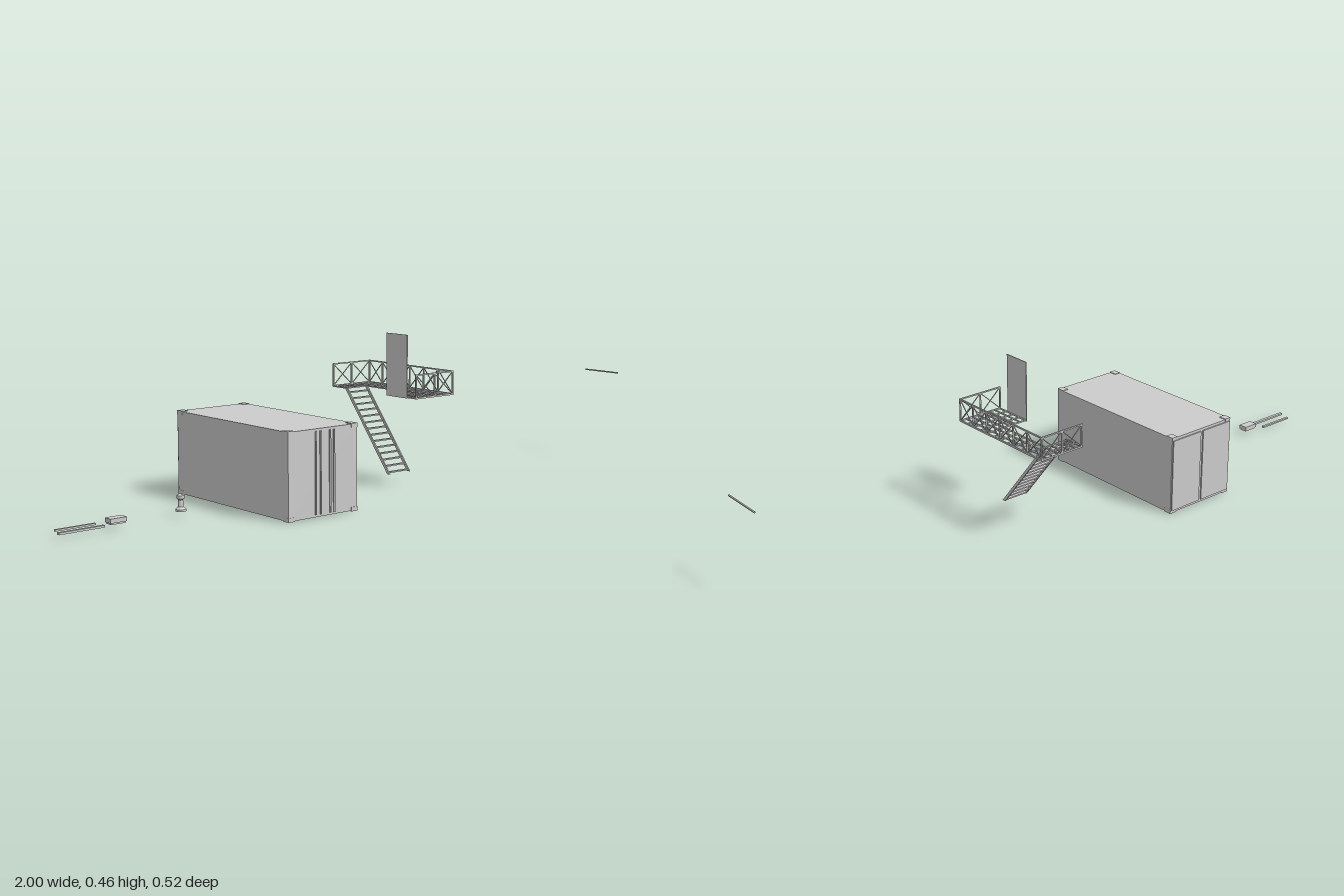
import * as THREE from 'three';

const grey = new THREE.MeshStandardMaterial({ color: 0xcccccc, flatShading: true });
const thin = new THREE.MeshStandardMaterial({ color: 0xcccccc, flatShading: true, side: THREE.DoubleSide });

function group(parent, name) {
  const g = new THREE.Group();
  g.name = name;
  parent.add(g);
  return g;
}

// Box given by its size and centre
function box(parent, name, size, pos, mat = grey) {
  const m = new THREE.Mesh(new THREE.BoxGeometry(...size), mat);
  m.name = name;
  m.position.set(...pos);
  parent.add(m);
  return m;
}

// Square bar between two points
function bar(parent, name, a, b, t) {
  const p = new THREE.Vector3(...a), q = new THREE.Vector3(...b);
  const m = box(parent, name, [t, t, p.distanceTo(q) + t], [0, 0, 0]);
  m.position.copy(p).add(q).multiplyScalar(0.5);
  m.lookAt(q);
}

// Open-bottomed container with raised corner blocks and doors
function addContainer(root) {
  const g = group(root, 'container');
  const x0 = -0.44, x1 = -0.2, y0 = 0.003, y1 = 0.244, zh = 0.256;
  const cx = (x0 + x1) / 2, cy = (y0 + y1) / 2, w = x1 - x0, h = y1 - y0;
  const panel = (name, pw, ph, pos, rx, ry) => {
    const m = new THREE.Mesh(new THREE.PlaneGeometry(pw, ph), thin);
    m.name = name;
    m.position.set(...pos);
    m.rotation.set(rx, ry, 0);
    g.add(m);
  };
  panel('leftWall', zh * 2, h, [x1, cy, 0], 0, Math.PI / 2);
  panel('rightWall', zh * 2, h, [x0, cy, 0], 0, -Math.PI / 2);
  panel('frontWall', w, h, [cx, cy, zh], 0, 0);
  panel('backWall', w, h, [cx, cy, -zh], 0, Math.PI);
  panel('roof', w, zh * 2, [cx, y1, 0], -Math.PI / 2, 0);
  for (const x of [x0 + 0.01, x1 - 0.01])
    for (const y of [0.007, 0.24])
      for (const z of [-0.2445, 0.2445])
        box(g, 'cornerBlock', [0.021, 0.012, 0.025], [x, y, z]);
  // Locking bars at the front, door leaves with a centre gap at the back
  for (const x of [-0.347, -0.33, -0.297, -0.283])
    box(g, 'lockingBar', [0.004, 0.228, 0.004], [x, cy, 0.258]);
  for (const s of [-1, 1])
    box(g, 'doorLeaf', [0.113, 0.225, 0.004], [cx + s * 0.061, cy, -0.258]);
}

// Railing of cross-braced bays between two floor points
function addRailing(parent, a, b, bays) {
  const g = group(parent, 'railing');
  const low = 0.279, high = 0.346;
  const at = (t, y) => [a[0] + (b[0] - a[0]) * t, y, a[1] + (b[1] - a[1]) * t];
  bar(g, 'topRail', at(0, high), at(1, high), 0.004);
  bar(g, 'bottomRail', at(0, low), at(1, low), 0.004);
  for (let i = 0; i <= bays; i++) {
    bar(g, 'post', at(i / bays, low), at(i / bays, high), 0.004);
    if (i === bays) break;
    bar(g, 'brace', at(i / bays, low), at((i + 1) / bays, high), 0.0022);
    bar(g, 'brace', at(i / bays, high), at((i + 1) / bays, low), 0.0022);
  }
}

// Grating made of crossed bars
function addGrating(parent, name, x0, x1, z0, z1) {
  const g = group(parent, name);
  const nx = Math.round((x1 - x0) / 0.019), nz = Math.round((z1 - z0) / 0.031);
  for (let i = 0; i <= nx; i++) {
    const x = x0 + (x1 - x0) * i / nx;
    bar(g, 'longBar', [x, 0.278, z0], [x, 0.278, z1], 0.004);
  }
  for (let i = 0; i <= nz; i++) {
    const z = z0 + (z1 - z0) * i / nz;
    bar(g, 'crossBar', [x0, 0.278, z], [x1, 0.278, z], 0.004);
  }
}

// C-shaped platform with railings, upright door and stair
function addPlatform(root) {
  const g = group(root, 'platform');
  const x0 = 0.087, xm = 0.168, x1 = 0.234, z0 = -0.184, z1 = 0.185;
  addGrating(g, 'walkway', xm, x1, z0, z1);
  addGrating(g, 'frontLanding', x0, xm, 0.065, z1);
  addGrating(g, 'backLanding', x0, xm, z0, -0.122);
  addRailing(g, [x1, z1], [x1, z0], 6);
  addRailing(g, [x0, z1], [x1, z1], 2);
  addRailing(g, [x0, z0], [x1, z0], 2);
  box(g, 'door', [0.003, 0.185, 0.088], [0.085, 0.3675, 0.106]);

  const stair = group(g, 'stair');
  // Stringer outline in (z, y), extruded sideways
  const outline = new THREE.Shape([[0.078, 0.04], [0.067, 0.04], [-0.125, 0.278], [-0.114, 0.278]]
    .map(([z, y]) => new THREE.Vector2(-z, y)));
  for (const x of [0.083, 0.163]) {
    const geo = new THREE.ExtrudeGeometry(outline, { depth: 0.004, bevelEnabled: false });
    geo.rotateY(Math.PI / 2);
    const m = new THREE.Mesh(geo, grey);
    m.name = 'stringer';
    m.position.x = x;
    stair.add(m);
  }
  const steps = 14;
  for (let i = 0; i < steps; i++) {
    const t = (i + 0.3) / steps;
    box(stair, 'tread', [0.08, 0.004, 0.01], [0.125, 0.04 + 0.238 * t, 0.0725 - 0.192 * t]);
  }
}

// Small loose parts standing to either side
function addLooseParts(root) {
  box(root, 'longLamp', [0.135, 0.006, 0.01], [-0.9325, 0.016, 0.026]);
  box(root, 'shortLamp', [0.12, 0.005, 0.008], [-0.928, 0.016, -0.012]);

  const unit = group(root, 'wallUnit');
  box(unit, 'casing', [0.05, 0.012, 0.028], [-0.82, 0.025, 0.012]);
  box(unit, 'base', [0.044, 0.005, 0.022], [-0.82, 0.017, 0.012]);

  const profile = [[0, 0.014], [0.015, 0.014], [0.015, 0.02], [0.008, 0.026], [0.007, 0.045],
    [0.011, 0.049], [0.011, 0.058], [0.007, 0.061], [0, 0.061]];
  const post = new THREE.Mesh(
    new THREE.LatheGeometry(profile.map(p => new THREE.Vector2(...p)), 16), grey);
  post.name = 'ventPost';
  post.position.set(-0.605, 0, -0.005);
  root.add(post);

  box(root, 'looseRail', [0.004, 0.004, 0.135], [0.998, 0.279, 0.112]);
}

export function createModel() {
  const root = new THREE.Group();
  root.name = 'siteCabinKit';
  addContainer(root);
  addPlatform(root);
  addLooseParts(root);
  return root;
}
